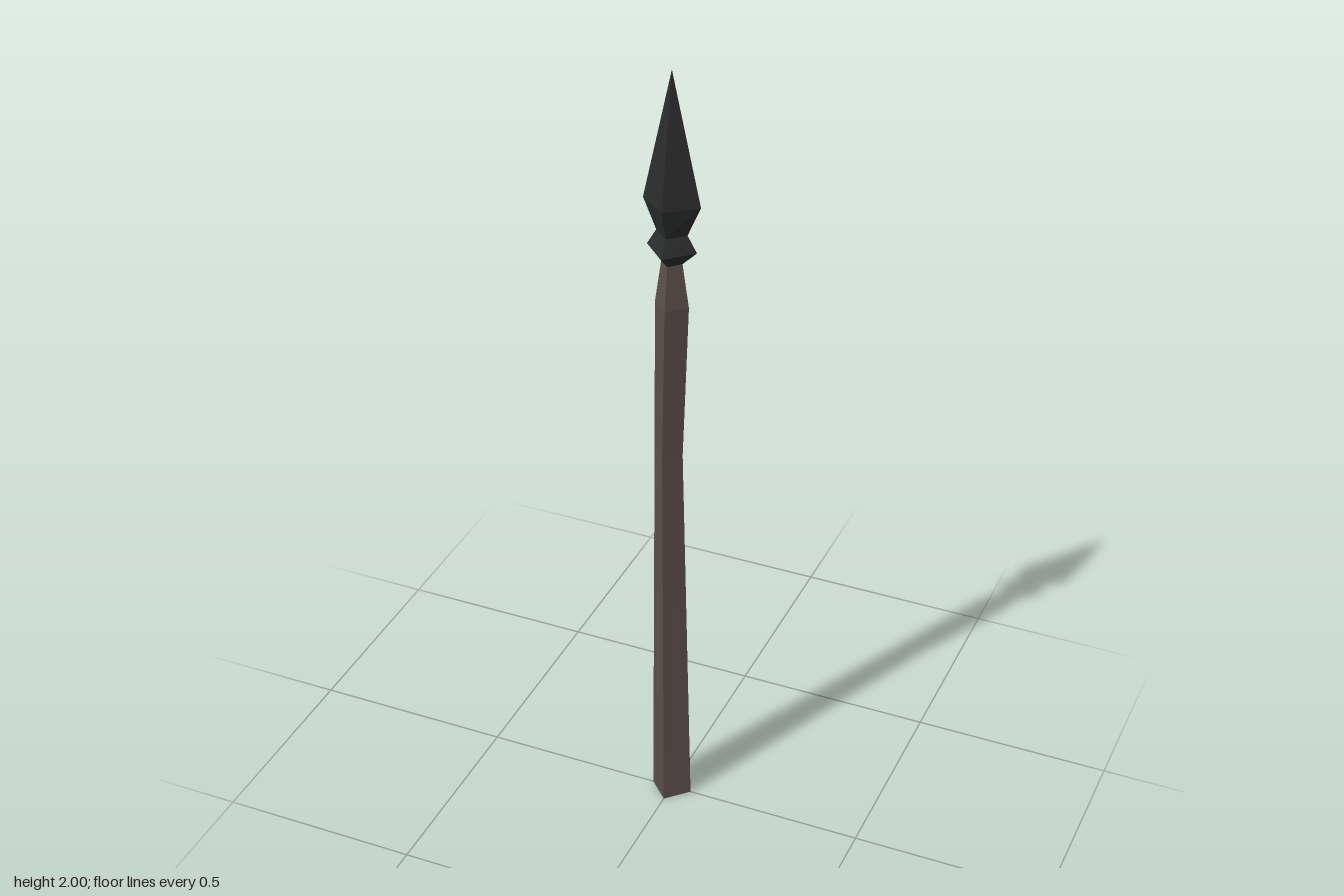
import * as THREE from 'three';

// Lofts four-sided diamond sections [y, halfX, halfZ, offsetX, offsetZ] into a closed faceted solid
function loftDiamonds(name, sections, color) {
  const rings = sections.map(([y, rx, rz, ox = 0, oz = 0]) =>
    [[0, 1], [1, 0], [0, -1], [-1, 0]].map(([x, z]) => [ox + x * rx, y, oz + z * rz]));
  const positions = [];
  const quad = (a, b, c, d) => positions.push(...a, ...b, ...c, ...a, ...c, ...d);
  for (let r = 0; r < rings.length - 1; r++) {
    for (let i = 0; i < 4; i++) {
      const j = (i + 1) % 4;
      const [a, b, c, d] = [rings[r][i], rings[r][j], rings[r + 1][j], rings[r + 1][i]];
      if (sections[r + 1][1] === 0) positions.push(...a, ...b, ...c); // pointed tip
      else quad(a, b, c, d);
    }
  }
  const [bottom, top] = [rings[0], rings[rings.length - 1]];
  quad(bottom[3], bottom[2], bottom[1], bottom[0]);
  if (sections[sections.length - 1][1] > 0) quad(...top);

  const geometry = new THREE.BufferGeometry();
  geometry.setAttribute('position', new THREE.Float32BufferAttribute(positions, 3));
  geometry.computeVertexNormals();
  const mesh = new THREE.Mesh(geometry, new THREE.MeshStandardMaterial({ color, flatShading: true }));
  mesh.name = name;
  return mesh;
}

export function createModel() {
  const spear = new THREE.Group();
  spear.name = 'spear';

  // Slightly crooked wooden shaft, tapered at the top
  spear.add(loftDiamonds('shaft', [
    [0, 0.052, 0.052],
    [1.02, 0.036, 0.038, -0.008, 0.001],
    [1.42, 0.042, 0.042],
    [1.53, 0.026, 0.026],
  ], 0x5d4f48));

  // Dark head: collar, neck, shoulder and point
  spear.add(loftDiamonds('spearhead', [
    [1.53, 0.026, 0.026],
    [1.565, 0.061, 0.061],
    [1.605, 0.038, 0.036],
    [1.68, 0.07, 0.057],
    [2, 0, 0],
  ], 0x2b2c2c));

  return spear;
}
